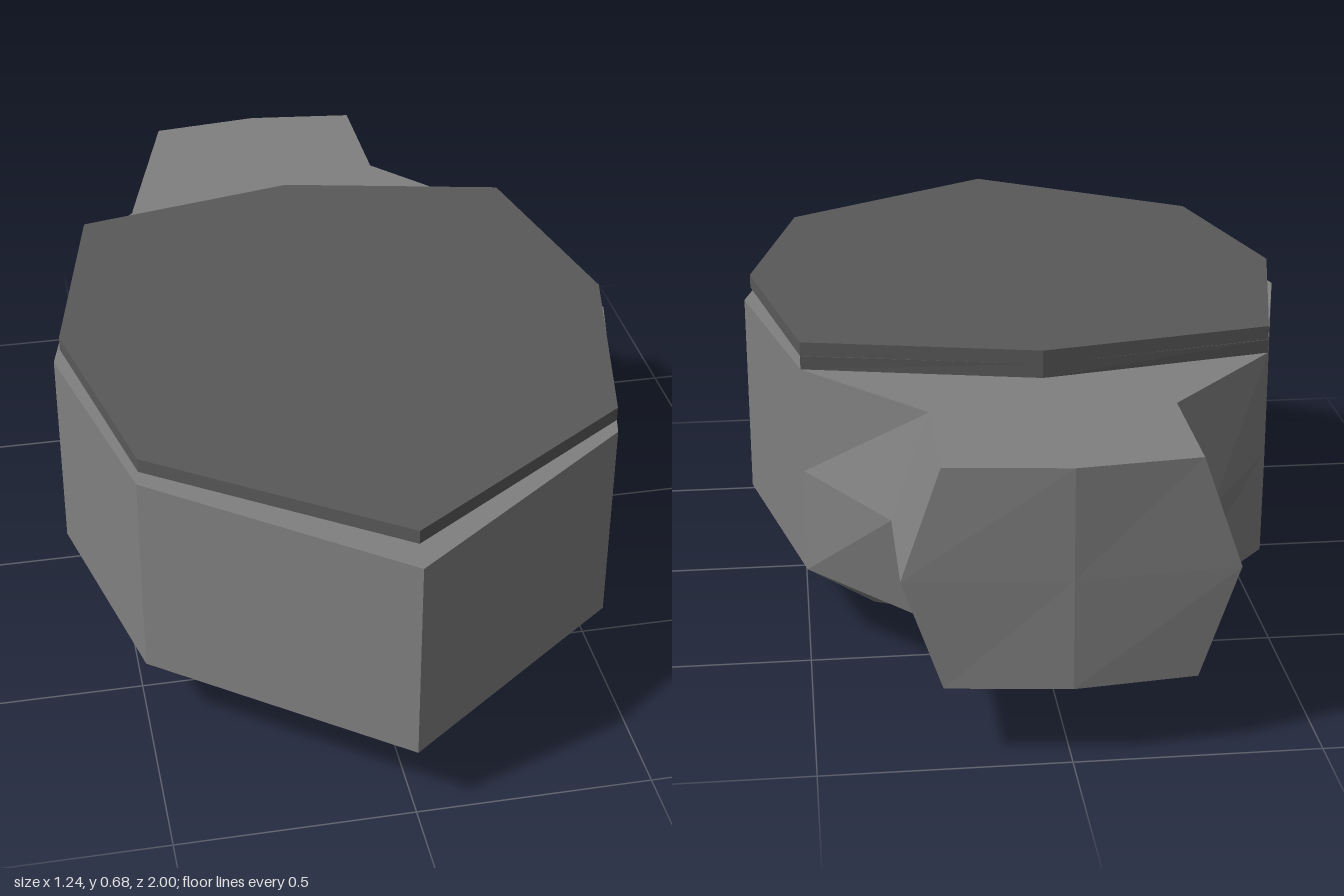
import * as THREE from 'three';

// Mirror a half outline of [x, z] points (front to back along +x) into a full ring at height y.
function ring(y, half) {
  const left = half.filter(([x]) => x > 0).reverse().map(([x, z]) => [-x, z]);
  return [...half, ...left].map(([x, z]) => new THREE.Vector3(x, y, z));
}

// Join rings from bottom to top with faceted walls and close both ends.
function loft(rings) {
  const pos = [];
  const tri = (...pts) => pts.forEach((p) => pos.push(p.x, p.y, p.z));
  for (let r = 0; r < rings.length - 1; r++) {
    const a = rings[r], b = rings[r + 1];
    for (let i = 0; i < a.length; i++) {
      const j = (i + 1) % a.length;
      tri(a[i], a[j], b[j]);
      tri(a[i], b[j], b[i]);
    }
  }
  const cap = (pts, up) => {
    const flat = pts.map((p) => new THREE.Vector2(p.x, -p.z));
    for (const [i, j, k] of THREE.ShapeUtils.triangulateShape(flat, [])) {
      if (up) tri(pts[i], pts[j], pts[k]);
      else tri(pts[i], pts[k], pts[j]);
    }
  };
  cap(rings[0], false);
  cap(rings[rings.length - 1], true);
  const geo = new THREE.BufferGeometry();
  geo.setAttribute('position', new THREE.Float32BufferAttribute(pos, 3));
  geo.computeVertexNormals();
  return geo;
}

export function createModel() {
  const group = new THREE.Group();
  const bodyGrey = new THREE.MeshStandardMaterial({ color: 0x808080, flatShading: true });
  bodyGrey.name = 'bodyGrey';
  const lidGrey = new THREE.MeshStandardMaterial({ color: 0x595959, flatShading: true });
  lidGrey.name = 'lidGrey';

  const add = (name, rings, material) => {
    const mesh = new THREE.Mesh(loft(rings), material);
    mesh.name = name;
    group.add(mesh);
  };

  // Hull with a rear neck that bulges at mid height
  const hull = (y, w) => ring(y, [
    [0, 1], [0.5, 0.62], [0.62, 0.125], [0.5, -0.38],
    [w, -0.67], [w, -0.97], [0, -1],
  ]);
  add('hull', [hull(0.16, 0.25), hull(0.39, 0.33), hull(0.62, 0.25)], bodyGrey);

  // Tapered underside
  add('underside', [
    ring(0, [[0, 0.73], [0.35, 0.48], [0.43, 0.125], [0.35, -0.22], [0, -0.38]]),
    ring(0.16, [[0, 1], [0.5, 0.62], [0.62, 0.125], [0.5, -0.38], [0, -0.49]]),
  ], bodyGrey);

  // Thin lid floating just above the hull
  const lid = [[0, 0.96], [0.495, 0.62], [0.605, 0.125], [0.5, -0.38], [0, -0.49]];
  add('lid', [ring(0.65, lid), ring(0.68, lid)], lidGrey);

  // Rear hinge joining lid and hull, with a sloped front
  add('hinge', [
    ring(0.62, [[0, -0.34], [0.465, -0.34], [0.5, -0.38], [0, -0.49]]),
    ring(0.65, [[0, -0.38], [0.495, -0.38], [0.5, -0.382], [0, -0.49]]),
  ], lidGrey);
  add('hingeRamp', [
    ring(0.62, [[0, -0.336], [0.465, -0.336], [0.465, -0.341], [0, -0.341]]),
    ring(0.65, [[0, -0.376], [0.495, -0.376], [0.495, -0.381], [0, -0.381]]),
  ], bodyGrey);

  return group;
}
